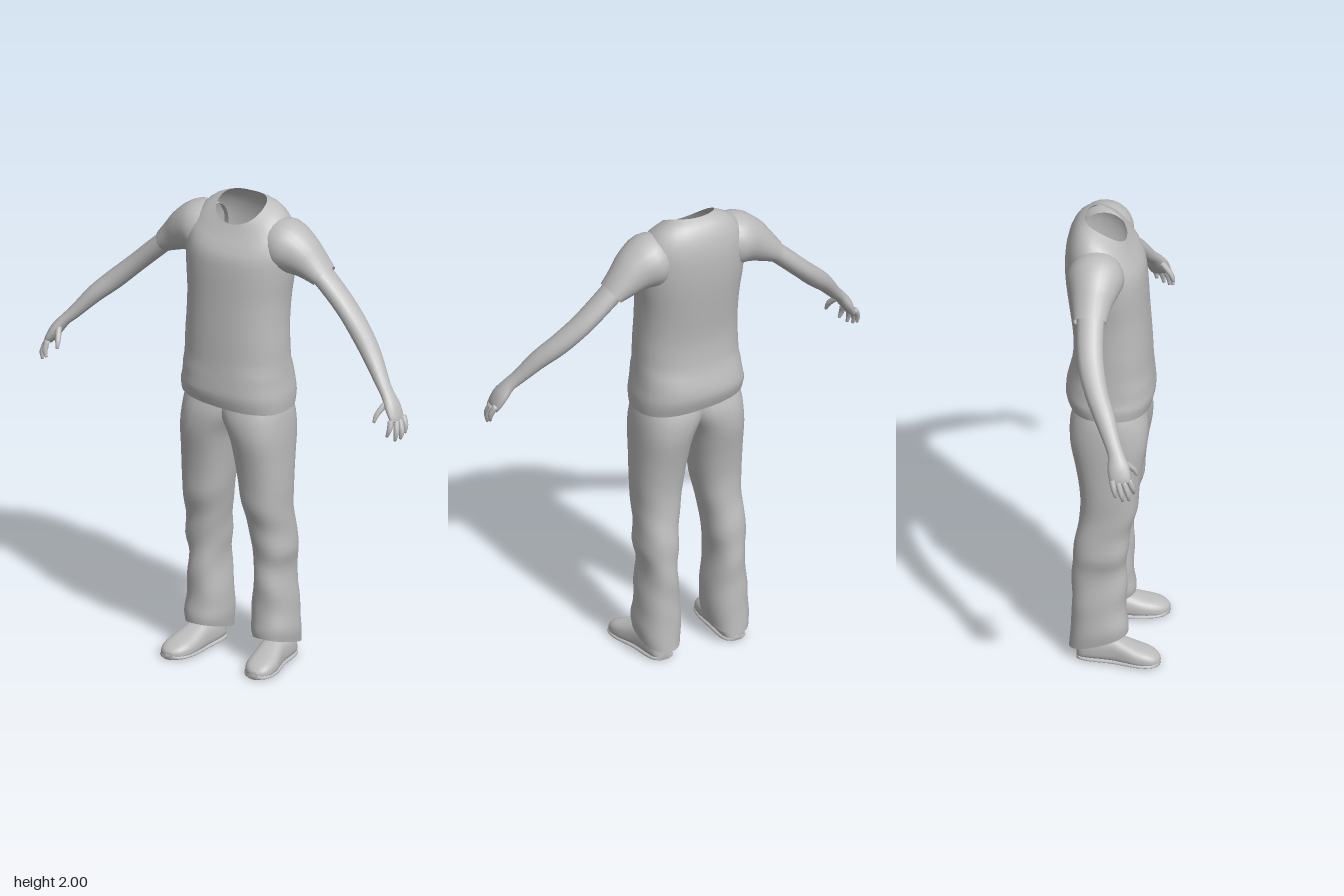
import * as THREE from 'three';

const V = (x, y, z) => new THREE.Vector3(x, y, z);
const SEG = 28;
const pw = (c, n) => Math.sign(c) * Math.abs(c) ** (2 / n);

// Smoothly add rows between the given rows of numbers
function refine(rows, sub = 3) {
  const out = [];
  for (let i = 0; i < rows.length - 1; i++) {
    const p = [rows[Math.max(i - 1, 0)], rows[i], rows[i + 1], rows[Math.min(i + 2, rows.length - 1)]];
    for (let s = 0; s < sub; s++) {
      const t = s / sub;
      out.push(p[1].map((b, k) => {
        const a = p[0][k], c = p[2][k], d = p[3][k];
        return b + 0.5 * t * (c - a + t * (2 * a - 5 * b + 4 * c - d + t * (3 * (b - c) + d - a)));
      }));
    }
  }
  out.push(rows[rows.length - 1]);
  return out;
}

// Skin over closed rings; side = -1 mirrors it across x
function loft(rings, { side = 1, capStart = false, capEnd = false } = {}) {
  const pos = [], idx = [], n = rings[0].length;
  const tri = (a, b, c) => (side > 0 ? idx.push(a, b, c) : idx.push(a, c, b));
  const put = (p) => pos.push(p.x * side, p.y, p.z);
  rings.forEach((r) => r.forEach(put));
  for (let i = 0; i < rings.length - 1; i++) {
    for (let j = 0; j < n; j++) {
      const a = i * n + j, b = i * n + (j + 1) % n;
      tri(a, b, a + n);
      tri(b, b + n, a + n);
    }
  }
  const cap = (r, base, flip) => {
    const m = pos.length / 3;
    put(r.reduce((s, p) => s.add(p), V(0, 0, 0)).divideScalar(n));
    for (let j = 0; j < n; j++) {
      const a = base + j, b = base + (j + 1) % n;
      flip ? tri(m, b, a) : tri(m, a, b);
    }
  };
  if (capStart) cap(rings[0], 0, true);
  if (capEnd) cap(rings[rings.length - 1], (rings.length - 1) * n, false);
  const g = new THREE.BufferGeometry();
  g.setAttribute('position', new THREE.Float32BufferAttribute(pos, 3));
  g.setIndex(idx);
  g.computeVertexNormals();
  return g;
}

const ring = (f, n = SEG) => Array.from({ length: n }, (_, j) => f((j / n) * Math.PI * 2));

// Level ring with optional front/back tilt, sideways roll and raised sides
const levelRing = ({ y, x0, x1, zf, zb, tilt = 0, roll = 0, lift = 0, n = 2.3, fold = 0 }) => ring((t) => {
  const k = 1 + fold * Math.sin(y * 38 + 2 * t);
  const dz = pw(Math.cos(t), n) * (zf - zb) / 2 * k;
  const s = pw(Math.sin(t), n), dx = s * (x1 - x0) / 2 * k;
  return V((x0 + x1) / 2 + dx, y + tilt * dz + roll * dx + lift * s * s, (zf + zb) / 2 + dz);
});

// Limb rings square to a path; rows are x, y, z, half height, half depth
function limbRings(rows, n = 16) {
  const r = refine(rows);
  return r.map((c, i) => {
    const a = r[Math.max(i - 1, 0)], b = r[Math.min(i + 1, r.length - 1)];
    const t = V(b[0] - a[0], b[1] - a[1], b[2] - a[2]).normalize();
    const v = V(0, 0, 1).addScaledVector(t, -t.z).normalize();
    const u = v.clone().cross(t);
    return ring((q) => V(c[0], c[1], c[2])
      .addScaledVector(u, c[3] * Math.cos(q)).addScaledVector(v, c[4] * Math.sin(q)), n);
  });
}

// y, half width, front z, back z, tilt, roll, lift
const SHIRT = [
  [1.14, .238, .152, -.183, 0, -.08, 0], [1.19, .24, .164, -.2, 0, -.05, 0],
  [1.24, .232, .162, -.198, 0, 0, 0], [1.32, .226, .155, -.178, 0, 0, 0],
  [1.42, .223, .15, -.17, 0, 0, 0], [1.5, .22, .145, -.175, 0, 0, 0],
  [1.6, .222, .138, -.188, 0, 0, 0], [1.7, .233, .132, -.2, 0, 0, 0],
  [1.78, .238, .122, -.205, 0, 0, .01], [1.84, .228, .1, -.203, -.1, 0, .03],
  [1.89, .2, .078, -.188, -.25, 0, .03], [1.93, .16, .06, -.16, -.4, 0, .025],
  [1.955, .107, .047, -.125, -.52, 0, .02],
];
const SLEEVE = [
  [.14, 1.83, -.06, .1, .1], [.2, 1.825, -.062, .115, .118], [.265, 1.8, -.064, .096, .1],
  [.32, 1.765, -.068, .072, .082], [.38, 1.722, -.068, .048, .068],
];
const ARM = [
  [.34, 1.755, -.068, .042, .058], [.44, 1.665, -.062, .041, .055], [.52, 1.59, -.048, .04, .053],
  [.6, 1.515, -.018, .041, .048], [.67, 1.45, .02, .036, .043], [.74, 1.37, .06, .027, .034],
  [.775, 1.335, .078, .024, .034], [.805, 1.295, .09, .025, .045], [.828, 1.255, .1, .019, .045],
  [.837, 1.235, .105, .011, .038],
];
// Base, middle and tip of each digit
const FINGERS = {
  thumb: [[.785, 1.31, .11], [.766, 1.27, .148], [.76, 1.237, .163]],
  indexFinger: [[.825, 1.25, .135], [.827, 1.215, .15], [.817, 1.185, .155]],
  middleFinger: [[.838, 1.245, .115], [.85, 1.2, .133], [.845, 1.167, .138]],
  ringFinger: [[.843, 1.245, .092], [.86, 1.2, .108], [.857, 1.17, .113]],
  littleFinger: [[.842, 1.255, .068], [.86, 1.22, .078], [.86, 1.187, .084]],
};
// y, inner x, outer x, front z, back z, tilt, fold
const LEG = [
  [1.2, -.07, .205, .11, -.145, 0, 0], [1.14, -.07, .226, .128, -.165, 0, 0],
  [1.08, -.05, .236, .142, -.178, 0, 0], [1, -.006, .24, .142, -.174, 0, 0],
  [.9, .015, .24, .125, -.153, 0, 0], [.8, .03, .24, .112, -.136, 0, 0],
  [.7, .045, .237, .104, -.13, 0, .01], [.6, .065, .235, .078, -.143, 0, .02],
  [.5, .075, .243, .066, -.158, 0, .02], [.42, .085, .228, .06, -.163, 0, .02],
  [.32, .08, .235, .064, -.165, 0, .02], [.22, .068, .245, .058, -.163, 0, .02],
  [.14, .07, .25, .07, -.17, .15, .01], [.085, .078, .244, .068, -.175, .3, 0],
];
// z, centre x, half width, top y
const SHOE = [
  [-.142, .17, .025, .05], [-.125, .17, .045, .09], [-.08, .172, .054, .11], [0, .178, .056, .112],
  [.05, .185, .061, .096], [.1, .193, .066, .078], [.15, .199, .062, .064],
  [.185, .203, .045, .048], [.203, .204, .018, .032],
];

export function createModel() {
  const model = new THREE.Group();
  model.name = 'clothedBody';
  const grey = new THREE.MeshStandardMaterial({ color: 0xbcbcbc, side: THREE.DoubleSide });
  grey.name = 'plain grey';
  const add = (parent, name, geo) => {
    const m = new THREE.Mesh(geo, grey);
    m.name = name;
    parent.add(m);
  };

  // Hollow shirt body, open at the neck and hem
  add(model, 'shirtBody', loft(refine(SHIRT).map(([y, w, zf, zb, tilt, roll, lift]) =>
    levelRing({ y, x0: -w, x1: w, zf, zb, tilt, roll, lift, n: y < 1.3 ? 2.5 : 2.3 }))));

  for (const side of [1, -1]) {
    const label = side > 0 ? 'left' : 'right';

    // Sleeve, bare arm with palm, and fingers
    const arm = new THREE.Group();
    arm.name = label + 'Arm';
    model.add(arm);
    add(arm, label + 'Sleeve', loft(limbRings(SLEEVE, 24), { side }));
    add(arm, label + 'ForearmAndPalm', loft(limbRings(ARM), { side, capStart: true, capEnd: true }));
    for (const [name, path] of Object.entries(FINGERS)) {
      const radii = [.013, .0115, .006];
      const rows = path.map((p, i) => [...p, radii[i], radii[i]]);
      add(arm, name, loft(limbRings(rows, 8), { side, capStart: true, capEnd: true }));
    }

    // Trouser leg, built from the hem upwards
    const legRows = refine(LEG).reverse();
    add(model, label + 'TrouserLeg', loft(legRows.map(([y, x0, x1, zf, zb, tilt, fold]) =>
      levelRing({ y, x0, x1, zf, zb, tilt, fold })), { side, capEnd: true }));

    // Shoe upper and a slightly wider sole
    const shoe = new THREE.Group();
    shoe.name = label + 'Shoe';
    model.add(shoe);
    const rows = refine(SHOE);
    const shoeRings = (extra, height) => rows.map(([z, x, w, top]) => ring((t) => {
      const h = height || top, s = Math.sin(t);
      return V(x + pw(Math.cos(t), 2.6) * (w + extra), h * 0.35 + pw(s, 2.6) * h * (s > 0 ? 0.65 : 0.35), z);
    }));
    add(shoe, 'shoeUpper', loft(shoeRings(0, 0), { side, capStart: true, capEnd: true }));
    add(shoe, 'shoeSole', loft(shoeRings(.004, .022), { side, capStart: true, capEnd: true }));
  }
  return model;
}
